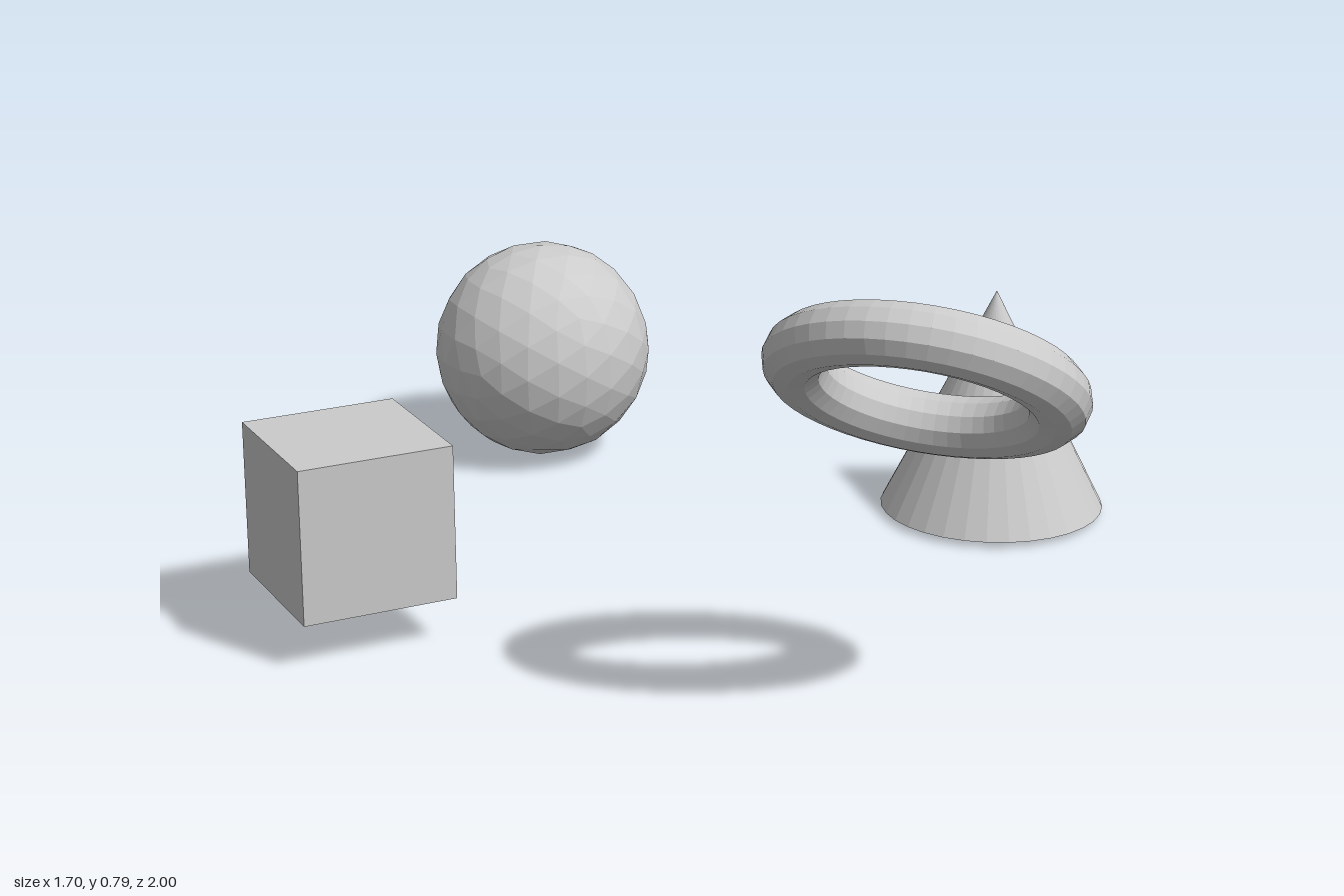
import * as THREE from 'three';

export function createModel() {
  const group = new THREE.Group();
  const material = new THREE.MeshStandardMaterial({ color: 0xcccccc, flatShading: true });

  const add = (name, geometry, x, y, z) => {
    const mesh = new THREE.Mesh(geometry, material);
    mesh.name = name;
    mesh.position.set(x, y, z);
    group.add(mesh);
    return mesh;
  };

  // Four separate primitives set around the centre
  add('cube', new THREE.BoxGeometry(0.286, 0.286, 0.286), -0.708, 0.229, -0.062);
  add('cone', new THREE.ConeGeometry(0.218, 0.437, 32), 0.63, 0.231, -0.062);
  add('facetedSphere', new THREE.IcosahedronGeometry(0.219, 3), -0.012, 0.22, -0.782);

  // Ring tilted so that it rises towards -x and +z
  const ring = add('ring', new THREE.TorusGeometry(0.218, 0.053, 12, 48), -0.011, 0.605, 0.75);
  const axis = new THREE.Vector3(0.43, 0.79, -0.43).normalize();
  ring.quaternion.setFromUnitVectors(new THREE.Vector3(0, 0, 1), axis);

  return group;
}
